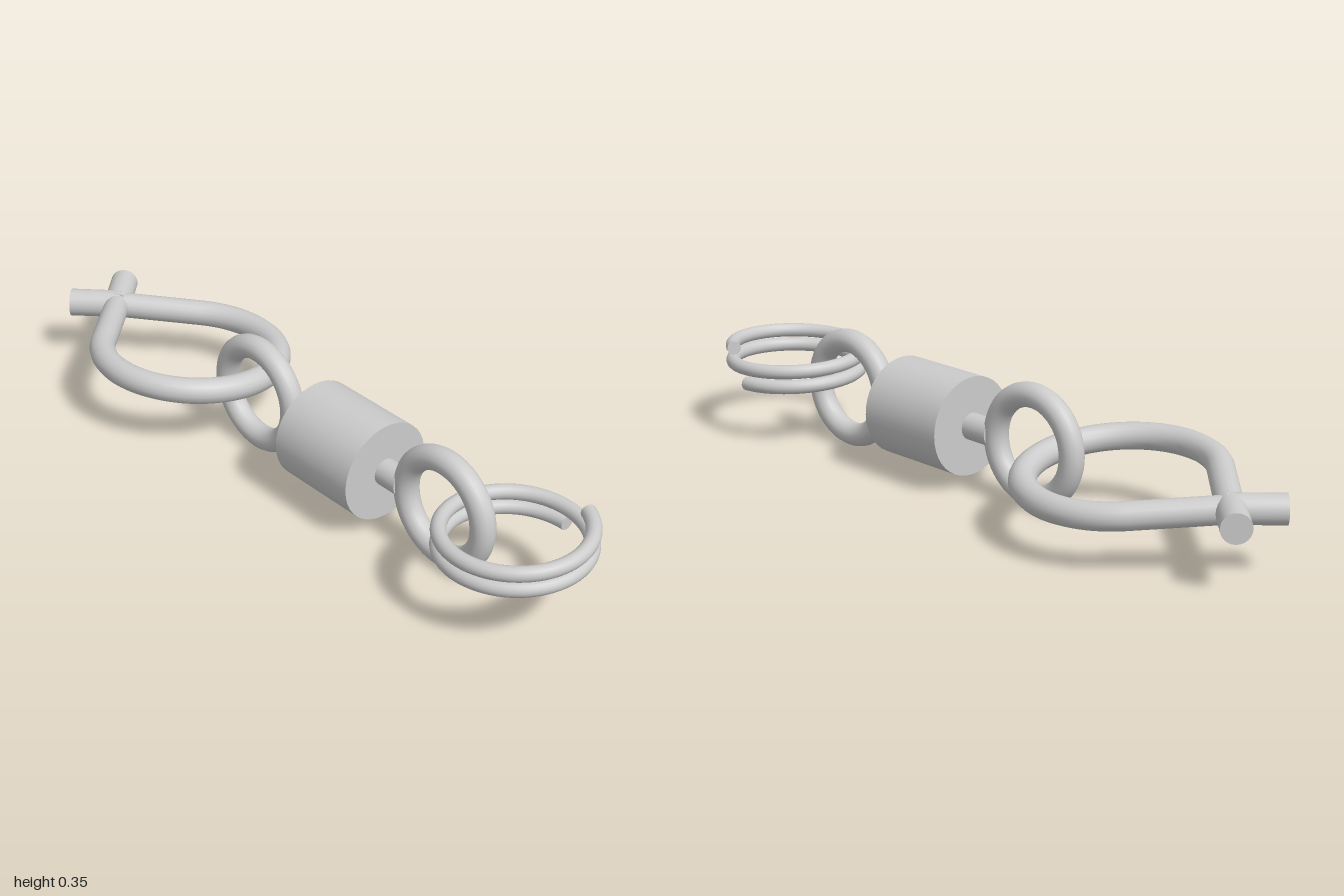
import * as THREE from 'three';

const material = new THREE.MeshStandardMaterial({ color: 0xcccccc });
const AXIS_Y = 0.178;

function addMesh(parent, name, geometry) {
  const mesh = new THREE.Mesh(geometry, material);
  mesh.name = name;
  parent.add(mesh);
  return mesh;
}

// Curve through a function of t in 0..1
class RuleCurve extends THREE.Curve {
  constructor(rule) {
    super();
    this.rule = rule;
  }
  getPoint(t, target = new THREE.Vector3()) {
    return target.copy(this.rule(t));
  }
}

// Solid rod between two points, with flat ends
function addRod(parent, name, a, b, radius, sides = 24) {
  const dir = b.clone().sub(a);
  const rod = addMesh(parent, name, new THREE.CylinderGeometry(radius, radius, dir.length(), sides));
  rod.position.copy(a).add(b).multiplyScalar(0.5);
  rod.quaternion.setFromUnitVectors(new THREE.Vector3(0, 1, 0), dir.normalize());
  return rod;
}

// Round wire along a curve, with flat caps at both ends
function addWire(parent, name, curve, radius, segments, sides = 16) {
  const wire = new THREE.Group();
  wire.name = name;
  addMesh(wire, name + 'Body', new THREE.TubeGeometry(curve, segments, radius, sides, false));
  for (const t of [0, 1]) {
    const cap = addMesh(wire, name + 'End', new THREE.CircleGeometry(radius, sides));
    const outward = curve.getTangentAt(t).multiplyScalar(t ? 1 : -1);
    cap.position.copy(curve.getPointAt(t));
    cap.quaternion.setFromUnitVectors(new THREE.Vector3(0, 0, 1), outward);
  }
  parent.add(wire);
}

export function createModel() {
  const model = new THREE.Group();
  model.name = 'swivelClip';
  const at = (x, y, z) => new THREE.Vector3(x, y, z);

  // Swivel barrel and the pin through it
  addRod(model, 'barrel', at(0, AXIS_Y, 0.036), at(0, AXIS_Y, 0.316), 0.14, 40);
  addRod(model, 'swivelPin', at(0, AXIS_Y, -0.05), at(0, AXIS_Y, 0.387), 0.038);

  // Upright eye on each side of the barrel
  for (const [name, z] of [['frontEye', 0.537], ['backEye', -0.2]]) {
    const eye = addMesh(model, name, new THREE.TorusGeometry(0.14, 0.034, 16, 64));
    eye.rotation.y = Math.PI / 2;
    eye.position.set(0, AXIS_Y, z);
  }

  // Split ring: nearly two turns of a rising coil
  const turns = 2 - 25 / 360;
  const coil = new RuleCurve((t) => {
    const a = t * turns * Math.PI * 2;
    return at(0.19 * Math.cos(a), 0.177 + 0.045 * turns * t, 0.786 - 0.19 * Math.sin(a));
  });
  addWire(model, 'splitRing', coil, 0.0205, 160);

  // Clip: three quarters of a circle closed by two straight legs, tilted sideways
  const R = 0.252, centreZ = -0.514, crossZ = centreZ - R * Math.SQRT2;
  const clipY = (x) => AXIS_Y - 0.105 * x;
  const arcLength = R * Math.PI * 1.5;
  const total = arcLength + 2 * R;
  const clip = new RuleCurve((t) => {
    const s = t * total - total / 2;
    const side = Math.sign(s) || 1;
    const along = Math.abs(s);
    const a = Math.min(along, arcLength / 2) / R;
    const rest = Math.max(along - arcLength / 2, 0) * Math.SQRT1_2;
    const x = side * (R * Math.sin(a) - rest);
    return at(x, clipY(x), centreZ + R * Math.cos(a) - rest);
  });
  addMesh(model, 'clipLoop', new THREE.TubeGeometry(clip, 140, 0.037, 16, false));

  // Crossed tips beyond the point where the legs meet
  for (const side of [-1, 1]) {
    addRod(model, side > 0 ? 'leftTip' : 'rightTip',
      at(-side * 0.008, AXIS_Y + 0.002, crossZ + 0.008),
      at(side * 0.098, AXIS_Y + 0.002, crossZ - 0.098), 0.04);
  }

  return model;
}
